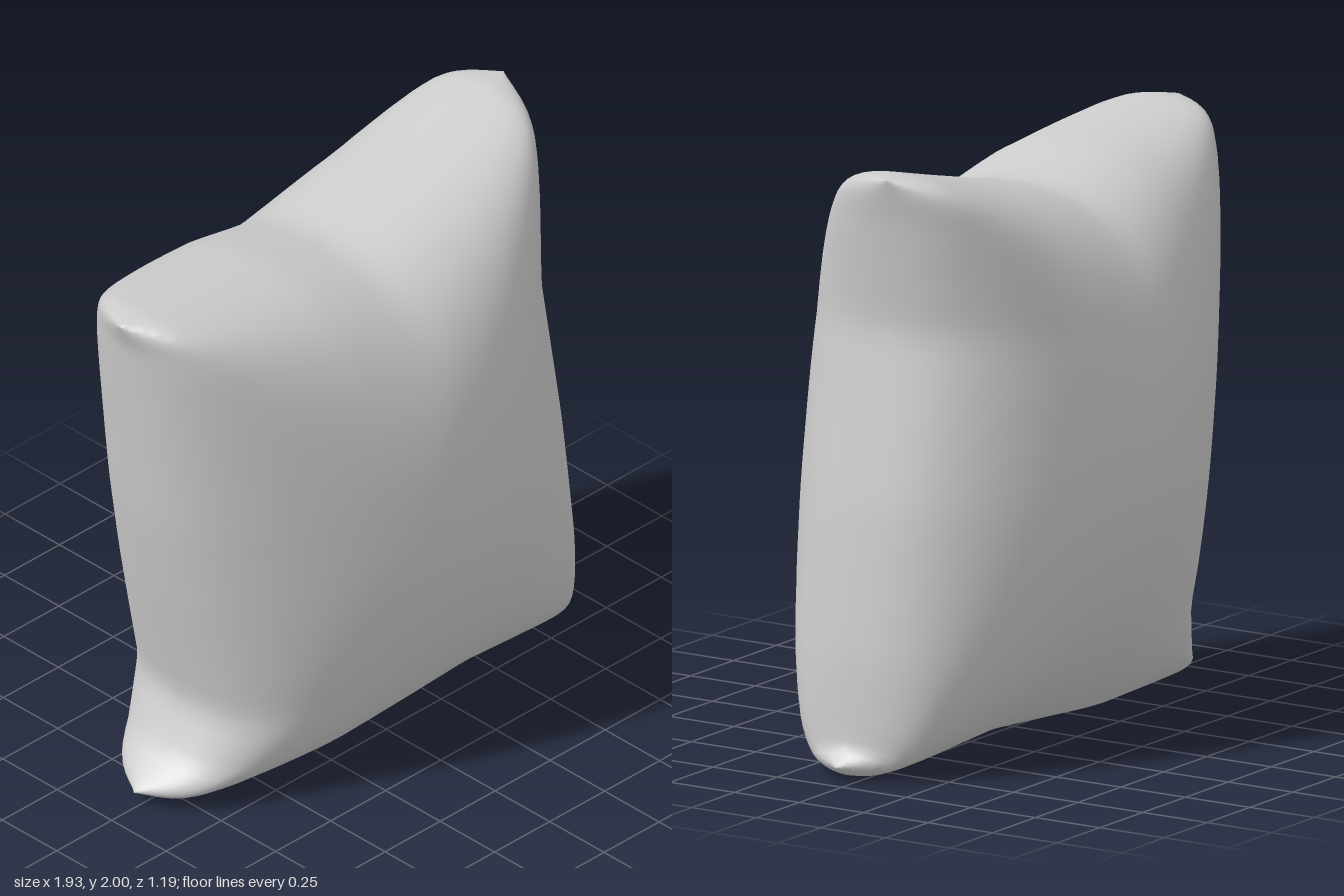
import * as THREE from 'three';
import { mergeVertices } from 'three/addons/utils/BufferGeometryUtils.js';

const N = 48; // grid cells along each side of a panel

// Seam edge as a slightly rounded curve through a few points
const edge = (pts) =>
  new THREE.CatmullRomCurve3(pts.map(([x, y, z]) => new THREE.Vector3(x, y, z)), false, 'catmullrom', 0.12);

const bottom = edge([[-0.9, 0.06, 0], [-0.82, 0.03, 0], [-0.3, 0, 0.02], [0.32, 0.04, 0.03], [0.88, 0.01, 0.04], [0.965, 0.05, 0.05]]);
const top = edge([[-0.97, 1.91, 0], [-0.87, 1.925, 0], [-0.34, 1.875, 0], [-0.03, 1.81, 0], [0.4, 1.91, -0.02], [0.75, 2, -0.06], [0.86, 2, -0.08]]);
const left = edge([[0.965, 0.05, 0.05], [0.91, 0.11, 0.05], [0.9, 0.4, 0.03], [0.85, 0.9, 0], [0.76, 1.47, -0.02], [0.82, 1.85, -0.06], [0.86, 2, -0.08]]);
const right = edge([[-0.9, 0.06, 0], [-0.77, 0.17, 0], [-0.69, 0.34, 0], [-0.78, 0.77, 0], [-0.84, 1.1, 0], [-0.93, 1.8, 0], [-0.97, 1.91, 0]]);

// Surface halfway between the panels: a flat quad plus each seam's wander,
// which dies out towards the middle of the cloth
function middle(s, t) {
  const mix = (a, b, k) => new THREE.Vector3().lerpVectors(a, b, k);
  const ends = (curve, k) => mix(curve.getPointAt(0), curve.getPointAt(1), k);
  const p = mix(ends(bottom, s), ends(top, s), t);
  const wander = (curve, k, distance, falloff) =>
    p.addScaledVector(curve.getPointAt(k).sub(ends(curve, k)), Math.pow(1 - distance, falloff));
  wander(bottom, s, t, 3);
  wander(top, s, 1 - t, 2);
  wander(right, t, s, 3.5);
  wander(left, t, 1 - s, 3.5);
  return p;
}

// Half thickness of the stuffing: zero at the seam, mitred along the
// diagonals, and pinched into an ear at each corner
const bulge = (x, power, root) => Math.pow(Math.max(0, 1 - Math.pow(Math.abs(x), power)), root);
function puff(u, v) {
  const across = u < 0 ? bulge(u, 1.3, 0.43) : bulge(u, 1.65, 0.43);
  const upward = v < 0 ? bulge(v, 2, 0.5) : bulge(v, 2.5, 0.43);
  if (across < 1e-4 || upward < 1e-4) return 0;
  const mitre = Math.pow(across ** -3 + upward ** -3 - 1, -1 / 3);
  return 0.595 * mitre * (1 - Math.pow(Math.abs(u * v), 20));
}

function cushionGeometry() {
  const position = [];
  const index = [];
  const row = N + 1;
  // Samples crowd towards the seam, where the cloth curves most
  const spread = (i) => Math.sin((i / N - 0.5) * Math.PI);
  for (const side of [1, -1]) {
    const base = position.length / 3;
    for (let j = 0; j <= N; j++) {
      for (let i = 0; i <= N; i++) {
        const u = spread(i), v = spread(j);
        const p = middle((u + 1) / 2, (v + 1) / 2);
        position.push(p.x, p.y, p.z + side * puff(u, v));
      }
    }
    for (let j = 0; j < N; j++) {
      for (let i = 0; i < N; i++) {
        const a = base + j * row + i, b = a + 1, c = a + row, d = c + 1;
        if (side > 0) index.push(a, b, d, a, d, c);
        else index.push(a, d, b, a, c, d);
      }
    }
  }
  let geometry = new THREE.BufferGeometry();
  geometry.setAttribute('position', new THREE.Float32BufferAttribute(position, 3));
  geometry.setIndex(index);
  geometry = mergeVertices(geometry, 1e-4); // sew the panels together
  geometry.computeVertexNormals();
  return geometry;
}

export function createModel() {
  const group = new THREE.Group();
  group.name = 'pillow';
  const cushion = new THREE.Mesh(cushionGeometry(), new THREE.MeshStandardMaterial({ color: 0xcccccc }));
  cushion.name = 'cushion';
  group.add(cushion);
  return group;
}
